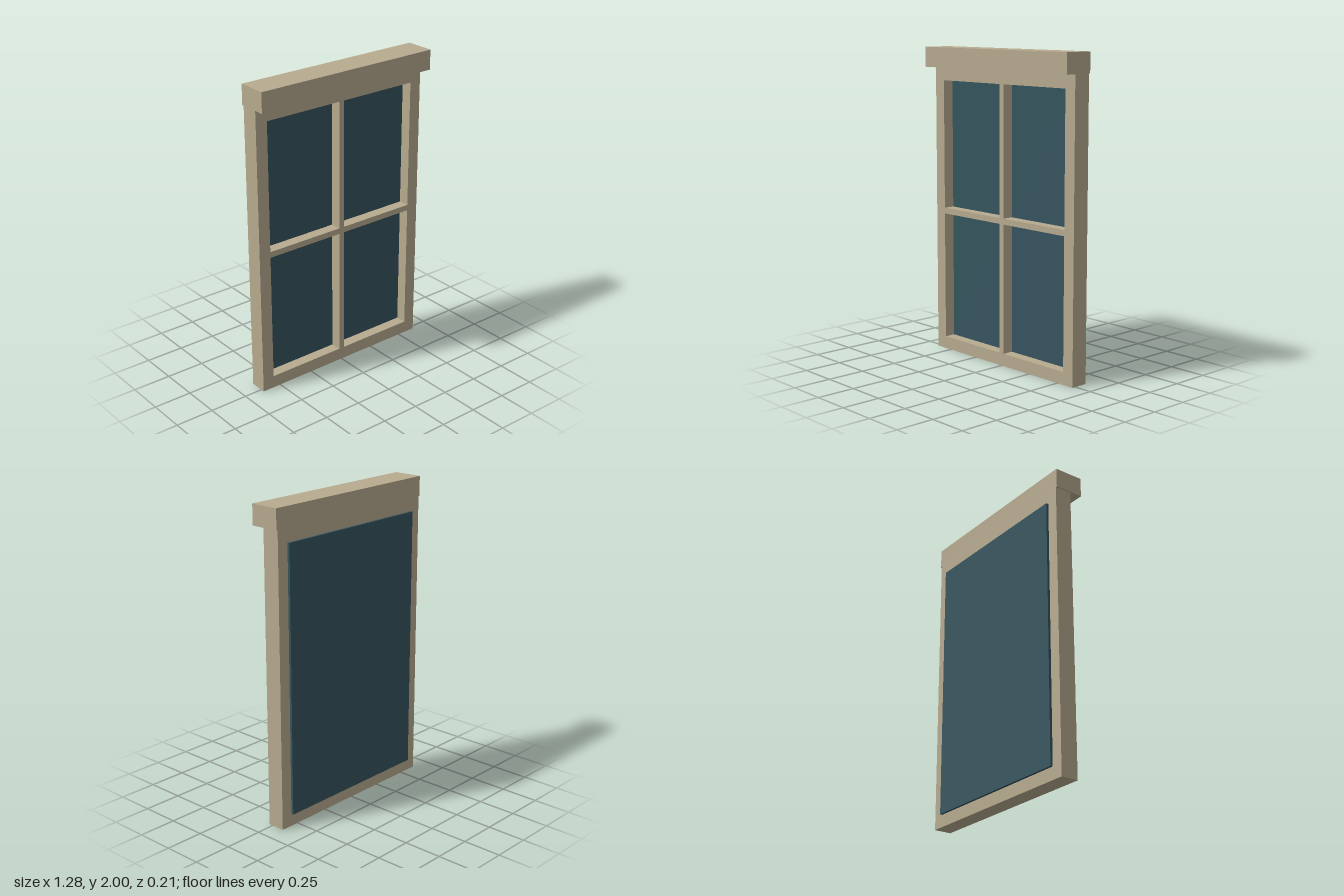
import * as THREE from 'three';

export function createModel() {
  const group = new THREE.Group();
  const wood = new THREE.MeshStandardMaterial({ color: 0xb7ab8f });
  const glass = new THREE.MeshStandardMaterial({ color: 0x35545e });

  // Box given by its extents on each axis
  const box = (name, material, [x0, x1], [y0, y1], [z0, z1]) => {
    const mesh = new THREE.Mesh(new THREE.BoxGeometry(x1 - x0, y1 - y0, z1 - z0), material);
    mesh.position.set((x0 + x1) / 2, (y0 + y1) / 2, (z0 + z1) / 2);
    mesh.name = name;
    group.add(mesh);
  };

  const halfWidth = 0.629, frameTop = 1.872, back = -0.088, front = 0.026;
  const rect = (path, x0, x1, y0, y1) =>
    path.moveTo(x0, y0).lineTo(x1, y0).lineTo(x1, y1).lineTo(x0, y1).closePath();

  // Frame with glazing bars: one slab with four openings
  const outline = new THREE.Shape();
  rect(outline, -halfWidth, halfWidth, 0, frameTop);
  for (const [x0, x1] of [[-0.55, -0.019], [0.019, 0.55]]) {
    for (const [y0, y1] of [[0.081, 0.914], [0.952, 1.786]]) {
      const opening = new THREE.Path();
      rect(opening, x0, x1, y0, y1);
      outline.holes.push(opening);
    }
  }
  const frame = new THREE.Mesh(
    new THREE.ExtrudeGeometry(outline, { depth: front - back, bevelEnabled: false }), wood);
  frame.position.z = back;
  frame.name = 'windowFrame';
  group.add(frame);

  // Overhanging lintel
  box('lintel', wood, [-0.638, 0.638], [frameTop, 2], [back, 0.104]);

  // Thick pane set into the frame and standing proud of its back
  box('glassPane', glass, [-0.552, 0.552], [0.08, 1.788], [-0.104, -0.046]);

  return group;
}
